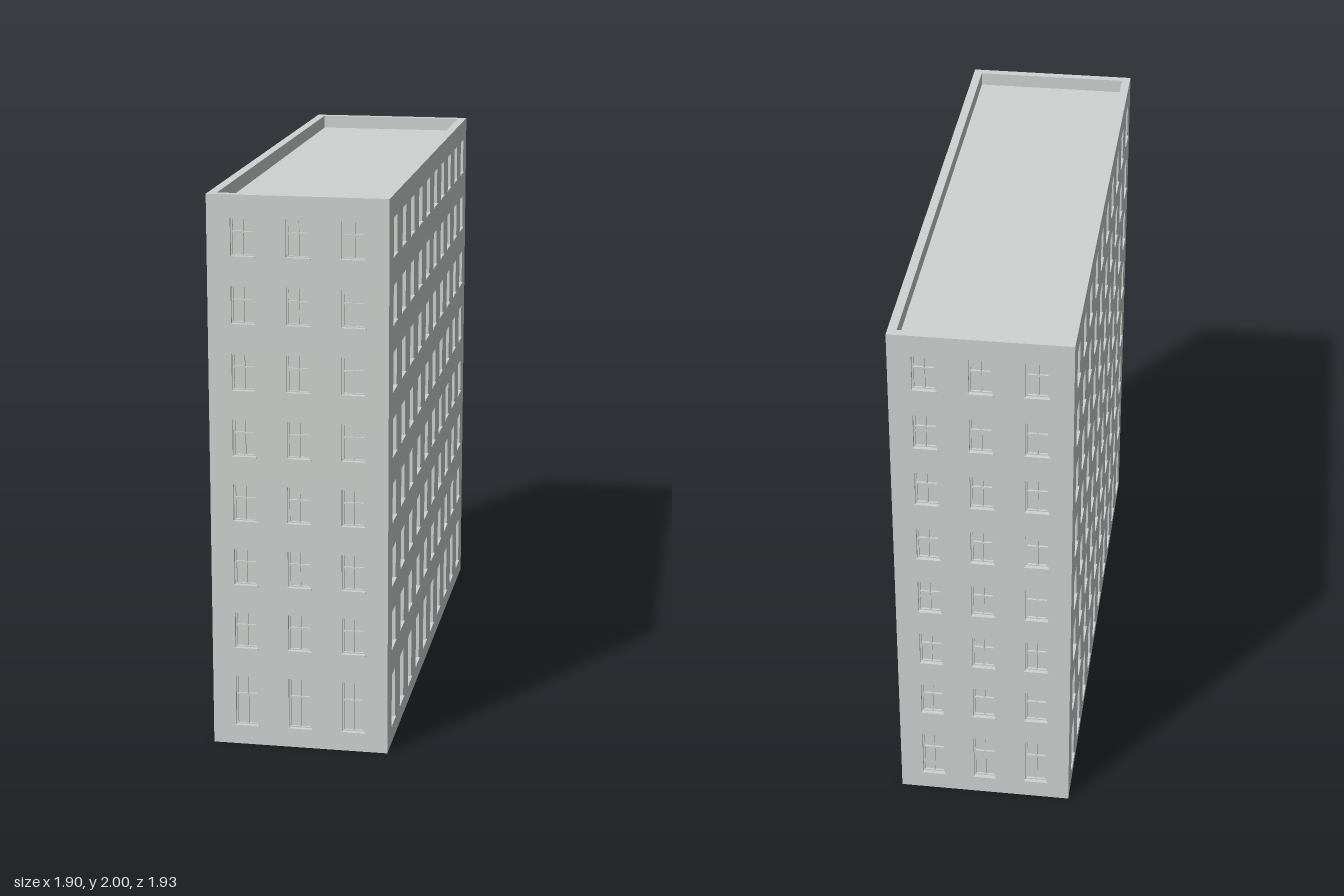
import * as THREE from 'three';
import { mergeGeometries } from 'three/addons/utils/BufferGeometryUtils.js';

const LENGTH = 2.075, WIDTH = 0.633, HEIGHT = 2;
const WALL = 0.032, RECESS = 0.02, ROOF_Y = 1.95;
const WIN_W = 0.082;

// Window bottoms and heights: a tall ground floor, then seven equal storeys
const floors = [{ y: 0.07, h: 0.19 }];
for (let i = 0; i < 7; i++) floors.push({ y: 0.365 + i * 0.2368, h: 0.135 });

function windowList(columns, spacing) {
  const list = [];
  for (let c = 0; c < columns; c++) {
    const x = (c - (columns - 1) / 2) * spacing;
    for (const f of floors) list.push({ x, ...f });
  }
  return list;
}

// Wall slab with window openings, outer face at z = 0
function wallGeometry(width, windows) {
  const shape = new THREE.Shape([
    new THREE.Vector2(-width / 2, 0), new THREE.Vector2(width / 2, 0),
    new THREE.Vector2(width / 2, HEIGHT), new THREE.Vector2(-width / 2, HEIGHT),
  ]);
  for (const { x, y, h } of windows) {
    const a = x - WIN_W / 2, b = x + WIN_W / 2;
    shape.holes.push(new THREE.Path([
      new THREE.Vector2(a, y), new THREE.Vector2(a, y + h),
      new THREE.Vector2(b, y + h), new THREE.Vector2(b, y),
    ]));
  }
  return new THREE.ExtrudeGeometry(shape, { depth: WALL, bevelEnabled: false }).translate(0, 0, -WALL);
}

function bar(w, h, d, x, y, z) {
  return new THREE.BoxGeometry(w, h, d).translate(x, y, z);
}

// Frame, mullion and transom of every window on one side
function frameGeometry(windows) {
  const t = 0.006, d = 0.008, z = -RECESS + d / 2;
  const parts = [];
  for (const { x, y, h } of windows) {
    for (const s of [-1, 1]) parts.push(bar(t, h, d, x + s * (WIN_W - t) / 2, y + h / 2, z));
    parts.push(bar(WIN_W, t, d, x, y + t / 2, z));
    parts.push(bar(WIN_W, t, d, x, y + h - t / 2, z));
    parts.push(bar(t, h, d, x, y + h / 2, z));
    parts.push(bar(WIN_W, t, d, x, y + h * 0.62, z));
  }
  return mergeGeometries(parts);
}

// Narrow sills standing just proud of the wall
function sillGeometry(windows) {
  return mergeGeometries(windows.map(({ x, y }) =>
    bar(WIN_W + 0.008, 0.006, RECESS + 0.004, x, y - 0.001, (0.004 - RECESS) / 2)));
}

export function createModel() {
  const concrete = new THREE.MeshStandardMaterial({ color: 0xd0d3d1 });
  concrete.name = 'paleGreyConcrete';

  const building = new THREE.Group();
  building.name = 'apartmentBlock';
  const add = (parent, name, geometry) => {
    const mesh = new THREE.Mesh(geometry, concrete);
    mesh.name = name;
    parent.add(mesh);
    return mesh;
  };

  // Core: its sides are the panes behind the openings, its top is the sunken roof
  add(building, 'coreAndRoof', new THREE.BoxGeometry(
    LENGTH - 2 * RECESS, ROOF_Y - 0.002, WIDTH - 2 * RECESS)).position.y = ROOF_Y / 2 + 0.001;

  // Four facades; the end walls fit between the long ones
  const longWindows = windowList(10, 0.2005);
  const endWindows = windowList(3, 0.193);
  const sides = [
    ['longFront', LENGTH, longWindows, WIDTH / 2, 0],
    ['endRight', WIDTH - 2 * WALL, endWindows, LENGTH / 2, Math.PI / 2],
    ['longBack', LENGTH, longWindows, WIDTH / 2, Math.PI],
    ['endLeft', WIDTH - 2 * WALL, endWindows, LENGTH / 2, -Math.PI / 2],
  ];
  for (const [name, width, windows, offset, angle] of sides) {
    const side = new THREE.Group();
    side.name = name + 'Facade';
    add(side, name + 'Wall', wallGeometry(width, windows));
    add(side, name + 'WindowFrames', frameGeometry(windows));
    add(side, name + 'Sills', sillGeometry(windows));
    side.rotation.y = angle;
    side.position.set(Math.sin(angle) * offset, 0, Math.cos(angle) * offset);
    building.add(side);
  }

  // The block stands diagonally
  building.rotation.y = -0.797;
  const model = new THREE.Group();
  model.name = 'model';
  model.add(building);
  return model;
}
